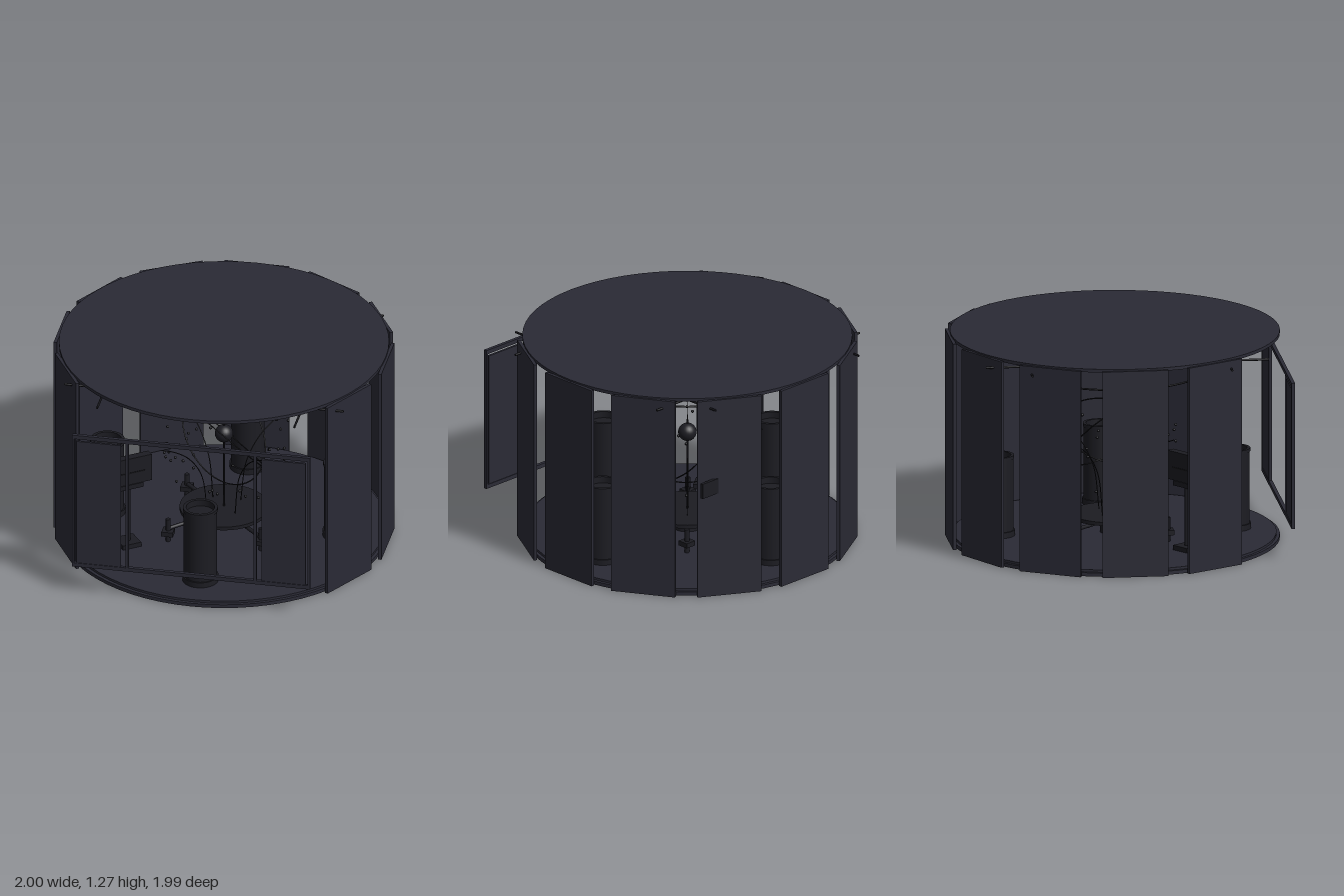
import * as THREE from 'three';

const wallMat = new THREE.MeshStandardMaterial({ color: 0x2a2a35 });
const darkMat = new THREE.MeshStandardMaterial({ color: 0x1c1c22 });
const lineMat = new THREE.MeshStandardMaterial({ color: 0x141418 });
const openMat = new THREE.MeshStandardMaterial({ color: 0x1c1c22, side: THREE.DoubleSide });

function add(parent, name, geo, mat, x = 0, y = 0, z = 0, ry = 0) {
  const m = new THREE.Mesh(geo, mat);
  m.name = name;
  m.position.set(x, y, z);
  m.rotation.y = ry;
  parent.add(m);
  return m;
}
const box = (w, h, d) => new THREE.BoxGeometry(w, h, d);
const cyl = (r, h, n = 64) => new THREE.CylinderGeometry(r, r, h, n);

// Straight thin rod between two points
function rod(parent, name, a, b, r, mat = lineMat) {
  const p = new THREE.Vector3(...a), q = new THREE.Vector3(...b);
  const m = add(parent, name, cyl(r, p.distanceTo(q), 8), mat);
  m.position.copy(p).add(q).multiplyScalar(0.5);
  m.quaternion.setFromUnitVectors(new THREE.Vector3(0, 1, 0), q.sub(p).normalize());
  return m;
}

function group(parent, name) {
  const g = new THREE.Group();
  g.name = name;
  parent.add(g);
  return g;
}

function buildShell(root) {
  add(root, 'floor', cyl(0.985, 0.022), wallMat, 0, 0.011, 0);
  add(root, 'floorStep', cyl(0.965, 0.015), wallMat, 0, 0.029, 0);
  add(root, 'roof', cyl(0.985, 0.02), wallMat, 0, 1.265, 0);
  // Wall panels all round except the entrance
  for (let deg = 60; deg <= 300; deg += 30) {
    const a = THREE.MathUtils.degToRad(deg);
    add(root, 'wallPanel', box(0.395, 1.265, 0.02), wallMat,
      Math.sin(a) * 0.988, 0.6325, Math.cos(a) * 0.988, a);
  }
  add(root, 'backScreen', box(0.16, 0.45, 0.015), darkMat, 0, 0.655, -0.97);
}

// Framed screen standing in front of the entrance
function buildGate(root) {
  const g = group(root, 'entranceFrame');
  add(g, 'topBar', box(1.45, 0.025, 0.022), wallMat, 0, 1.082, 0.983);
  add(g, 'bottomBar', box(1.45, 0.025, 0.022), wallMat, 0, 0.212, 0.983);
  for (const s of [-1, 1]) {
    add(g, 'outerPost', box(0.014, 0.89, 0.022), wallMat, s * 0.718, 0.647, 0.983);
    add(g, 'innerPost', box(0.016, 0.86, 0.018), wallMat, s * 0.39, 0.647, 0.983);
    add(g, 'gatePanel', box(0.27, 0.83, 0.014), wallMat, s * 0.563, 0.637, 0.983);
  }
}

// Open canisters on round bases
function buildCanisters(root) {
  const profile = [[0, 0.07], [0.1, 0.07], [0.1, 0.51], [0.104, 0.51], [0.104, 0.53],
    [0.085, 0.53], [0.085, 0.49], [0, 0.49]].map(p => new THREE.Vector2(...p));
  for (let i = 0; i < 4; i++) {
    const g = group(root, 'canister');
    g.position.set(Math.sin(i * Math.PI / 2) * 0.71, 0, Math.cos(i * Math.PI / 2) * 0.71);
    for (let k = 0; k < profile.length - 1; k++)
      add(g, 'canisterWall', new THREE.LatheGeometry([profile[k], profile[k + 1]], 32), openMat);
    add(g, 'canisterBase', cyl(0.108, 0.036, 32), darkMat, 0, 0.053, 0);
  }
}

// Low table under the sculpture
function buildTable(root) {
  const g = group(root, 'centreTable');
  add(g, 'tableTop', cyl(0.265, 0.022, 48), darkMat, 0, 0.142, 0);
  add(g, 'tableColumn', cyl(0.09, 0.1, 24), darkMat, 0, 0.085, 0);
  for (let i = 0; i < 4; i++) {
    const a = Math.PI / 4 + i * Math.PI / 2, s = Math.sin(a), c = Math.cos(a);
    add(g, 'tableFoot', box(0.07, 0.03, 0.07), darkMat, s * 0.4, 0.095, c * 0.4);
    add(g, 'footPost', cyl(0.015, 0.15, 8), darkMat, s * 0.4, 0.11, c * 0.4);
    rod(g, 'footStrut', [s * 0.1, 0.12, c * 0.1], [s * 0.4, 0.12, c * 0.4], 0.012, darkMat);
  }
}

// Core with tilted orbit rings, curved arms and loose particles
function buildSculpture(root) {
  const g = group(root, 'orbitSculpture');
  g.position.y = 0.647;
  add(g, 'core', new THREE.SphereGeometry(0.055, 24, 16), darkMat);
  rod(g, 'coreStem', [0, -0.5, 0], [0, 0.08, 0], 0.006);
  for (const n of [[0.56, 0.69, -0.45], [0.72, 0.62, 0.3]]) {
    const ring = add(g, 'orbitRing', new THREE.TorusGeometry(0.325, 0.004, 6, 72), lineMat);
    ring.quaternion.setFromUnitVectors(new THREE.Vector3(0, 0, 1), new THREE.Vector3(...n).normalize());
  }
  for (let i = 0; i < 4; i++) {
    const a = Math.PI / 4 + i * Math.PI / 2, s = Math.sin(a), c = Math.cos(a);
    const pts = [[0.45, 0.02], [0.36, -0.02], [0.25, -0.1], [0.16, -0.24], [0.12, -0.49]]
      .map(([r, y]) => new THREE.Vector3(s * r, y, c * r));
    add(g, 'curvedArm', new THREE.TubeGeometry(new THREE.CatmullRomCurve3(pts), 24, 0.003, 6), lineMat);
  }
  let seed = 7;
  const rand = () => (seed = (seed * 16807) % 2147483647) / 2147483647;
  for (let i = 0; i < 48; i++) {
    const a = rand() * Math.PI * 2, r = 0.25 + rand() * 0.2, y = -0.28 + rand() * 0.4;
    add(g, 'particle', new THREE.SphereGeometry(0.009, 8, 6), lineMat, Math.sin(a) * r, y, Math.cos(a) * r);
  }
}

// Ceiling grid, hub and lamp ring
function buildCeiling(root) {
  const g = group(root, 'ceilingRig');
  const y = 1.215;
  for (const s of [-0.6, 0.6]) {
    rod(g, 'gridBar', [-0.85, y, s], [0.85, y, s], 0.007);
    rod(g, 'gridBar', [s, y, -0.85], [s, y, 0.85], 0.007);
    rod(g, 'diagonalBar', [-0.6, y, s], [0.6, y, -s], 0.005);
  }
  add(g, 'hub', cyl(0.25, 0.012, 32), darkMat, 0, 1.222, 0);
  const ring = add(g, 'lampRing', new THREE.TorusGeometry(0.55, 0.006, 8, 64), lineMat, 0, 1.04, 0);
  ring.rotation.x = Math.PI / 2;
  for (let i = 0; i < 6; i++) {
    const a = Math.PI / 6 + i * Math.PI / 3, x = Math.sin(a) * 0.55, z = Math.cos(a) * 0.55;
    add(g, 'lamp', new THREE.SphereGeometry(0.018, 12, 8), lineMat, x, 1.04, z);
  }
}

// Control desk and rear display boards
function buildEquipment(root) {
  const desk = group(root, 'controlDesk');
  desk.position.set(-0.51, 0, 0.37);
  desk.rotation.y = 0.63;
  add(desk, 'monitor', box(0.29, 0.175, 0.05), darkMat, 0, 0.54, 0);
  add(desk, 'monitorSeam', box(0.2, 0.008, 0.056), lineMat, 0, 0.53, 0);
  add(desk, 'monitorMount', box(0.18, 0.03, 0.06), darkMat, 0, 0.437, 0);
  add(desk, 'deskPost', cyl(0.015, 0.39, 12), darkMat, 0, 0.23, 0);
  add(desk, 'deskBase', box(0.12, 0.03, 0.12), darkMat, 0, 0.05, 0);
  add(root, 'displayBoard', box(0.48, 0.095, 0.02), darkMat, 0.45, 0.71, -0.82);
}

export function createModel() {
  const root = new THREE.Group();
  root.name = 'roundPavilion';
  buildShell(root);
  buildGate(root);
  buildCanisters(root);
  buildTable(root);
  buildSculpture(root);
  buildCeiling(root);
  buildEquipment(root);
  return root;
}
